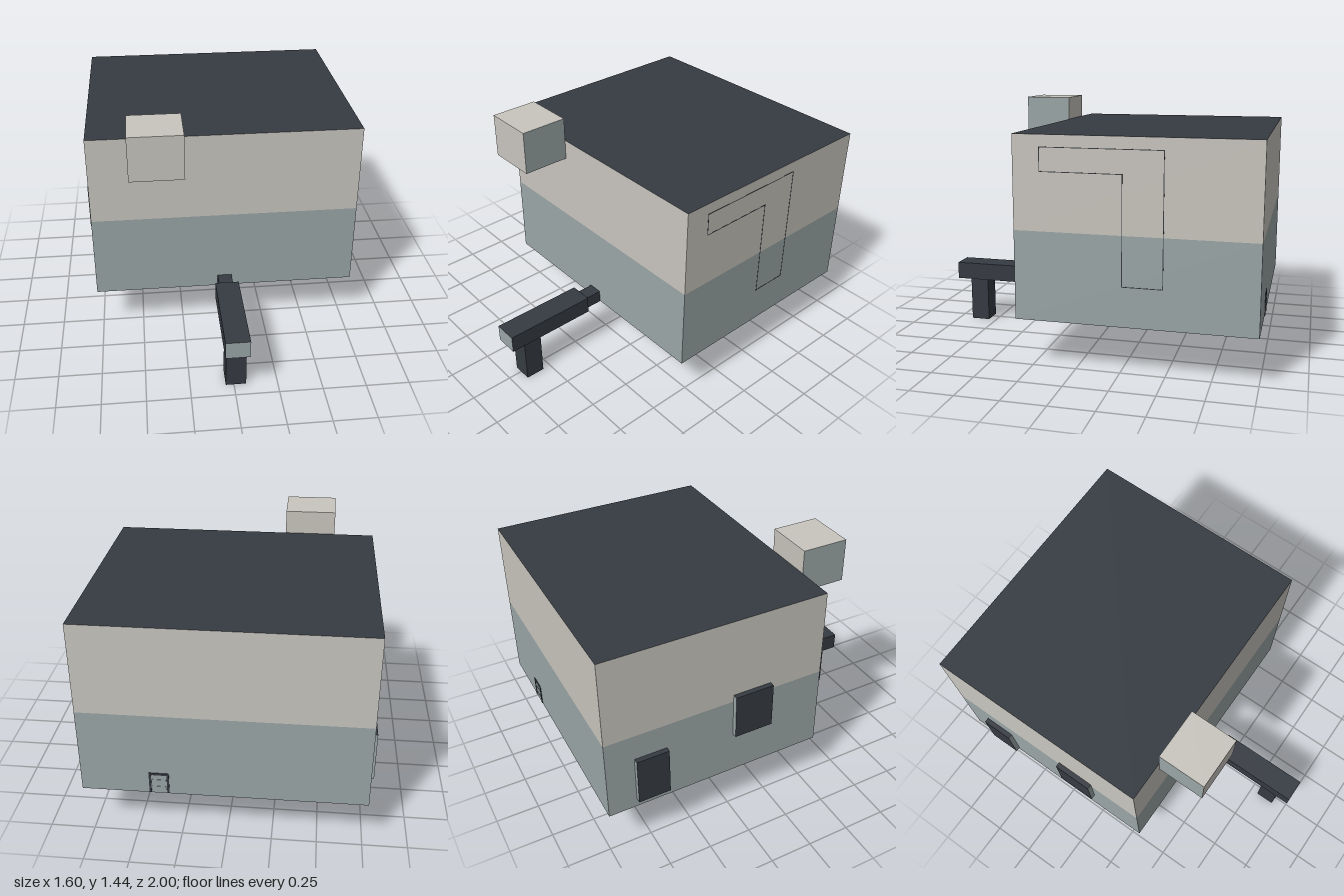
import * as THREE from 'three';

const material = (name, color) => {
  const m = new THREE.MeshStandardMaterial({ color });
  m.name = name;
  return m;
};

export function createModel() {
  const model = new THREE.Group();
  model.name = 'trailer';
  const cream = material('cream', 0xc9c6bf);
  const slate = material('slate', 0x9ba6a7);
  const dark = material('charcoal', 0x363b42);

  // Box given by its limits; mat may list materials as +x, -x, +y, -y, +z, -z
  const box = (name, [x0, x1], [y0, y1], [z0, z1], mat, parent = model) => {
    const mesh = new THREE.Mesh(new THREE.BoxGeometry(x1 - x0, y1 - y0, z1 - z0), mat);
    mesh.position.set((x0 + x1) / 2, (y0 + y1) / 2, (z0 + z1) / 2);
    mesh.name = name;
    parent.add(mesh);
    return mesh;
  };

  // Two-tone cabin with a dark roof
  const X = [-0.77, 0.795], Z = [-0.996, 0.33];
  box('lowerBody', X, [0.277, 0.777], Z, slate);
  box('upperBody', X, [0.777, 1.297], Z, [cream, cream, dark, cream, cream, cream]);

  // Equipment box on the front wall
  box('frontUnit', [-0.535, -0.235], [1.178, 1.437], [0.33, 0.61],
    [slate, slate, cream, cream, cream, cream]);

  // Side panels with pale end edges
  const panel = [dark, dark, dark, dark, slate, slate];
  box('rearSidePanel', [-0.8, -0.77], [0.33, 0.62], [-0.83, -0.64], panel);
  box('frontSidePanel', [-0.8, -0.77], [0.545, 0.82], [-0.235, 0], panel);

  // Hitch: front beam, tapered collar, narrow neck and support leg
  const hitch = new THREE.Group();
  hitch.name = 'hitch';
  model.add(hitch);
  box('beam', [-0.06, 0.08], [0.27, 0.375], [0.445, 1], [dark, dark, dark, dark, slate, dark], hitch);
  box('neck', [-0.035, 0.05], [0.272, 0.35], [0.3, 0.43], dark, hitch);
  box('leg', [-0.047, 0.07], [0, 0.272], [0.8, 0.915], dark, hitch);
  const collar = box('collar', [-0.06, 0.08], [0.27, 0.375], [0.428, 0.445], dark, hitch);
  const p = collar.geometry.attributes.position;
  for (let i = 0; i < p.count; i++) {
    if (p.getZ(i) < 0) {
      p.setX(i, p.getX(i) * 0.65);
      if (p.getY(i) > 0) p.setY(i, 0.03);
    }
  }
  collar.geometry.computeVertexNormals();

  // Small framed vent on the back wall
  const vent = new THREE.Group();
  vent.name = 'backVent';
  model.add(vent);
  const back = [-1, -0.99];
  box('ventPanel', [0.325, 0.405], [0.28, 0.4], [-0.998, -0.99], slate, vent);
  box('ventTop', [0.31, 0.42], [0.397, 0.41], back, dark, vent);
  for (const x of [0.31, 0.408]) box('ventSide', [x, x + 0.012], [0.28, 0.397], back, dark, vent);
  for (const y of [0.315, 0.36]) box('ventSlat', [0.325, 0.405], [y, y + 0.008], back, slate, vent);

  // Fine seam of the L-shaped slide-out on the left wall, as [z, y] corners
  const seam = [[0.18, 1.23], [-0.49, 1.23], [-0.49, 0.5], [-0.27, 0.5], [-0.27, 1.1], [0.18, 1.1]];
  const w = 0.002;
  seam.forEach(([z, y], i) => {
    const [z2, y2] = seam[(i + 1) % seam.length];
    box('slideOutSeam', [0.793, 0.796], [Math.min(y, y2) - w, Math.max(y, y2) + w],
      [Math.min(z, z2) - w, Math.max(z, z2) + w], dark);
  });

  // Fine seam of the hatch under the floor
  for (const x of [-0.17, 0.18]) box('hatchSeam', [x - w, x + w], [0.276, 0.279], [-0.45, -0.1], dark);
  for (const z of [-0.45, -0.1]) box('hatchSeam', [-0.17, 0.18], [0.276, 0.279], [z - w, z + w], dark);

  return model;
}
